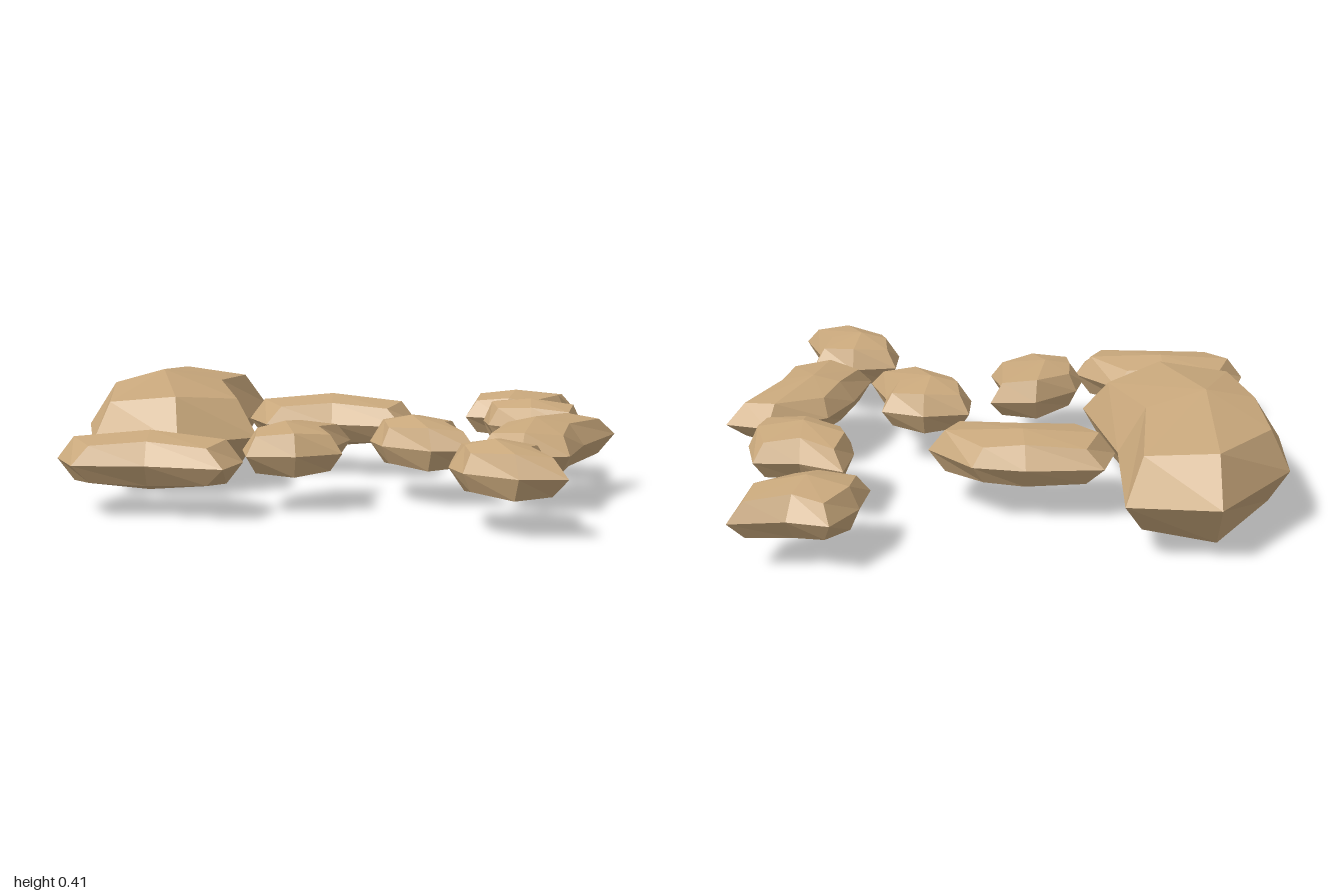
import * as THREE from 'three';

// Plan outlines [x, z], counter-clockwise from above, starting at the hollow
// side: side middles and end middles are even, corners are odd.
const slab = [[-0.38, -0.42], [-0.33, -0.92], [-0.64, -0.98], [-0.94, -0.65], [-0.98, -0.31], [-0.91, 0.16], [-0.6, 0.21], [-0.32, 0.05]];
const long = [[-0.05, -0.25], [0.22, -0.18], [0.28, -0.34], [0.14, -0.53], [-0.04, -0.58], [-0.31, -0.59], [-0.37, -0.43], [-0.3, -0.26]];
const tilted = [[0.85, 0.26], [1, -0.02], [0.85, -0.08], [0.63, 0.02], [0.53, 0.2], [0.46, 0.43], [0.6, 0.53], [0.77, 0.51]];
const stub = [[0.66, 0.78], [0.68, 0.64], [0.53, 0.57], [0.36, 0.58], [0.34, 0.73], [0.38, 0.85], [0.55, 0.97], [0.71, 0.97]];
const middle = [[-0.04, 0.3], [0.02, 0.13], [-0.15, 0.12], [-0.32, 0.24], [-0.36, 0.36], [-0.34, 0.51], [-0.17, 0.52], [-0.01, 0.45]];
const pointed = [[0.77, -0.89], [0.63, -0.94], [0.53, -0.8], [0.49, -0.64], [0.64, -0.58], [0.75, -0.59], [0.91, -0.73], [0.96, -0.89]];
const rear = [[0.73, -0.44], [0.58, -0.53], [0.54, -0.36], [0.55, -0.24], [0.7, -0.11], [0.88, -0.09], [0.91, -0.25], [0.89, -0.42]];

// Faceted stone: a wide middle ring, inset rings above and below, and two peaks
function stoneGeometry(outline, halfHeight) {
  const positions = [];
  const index = [];
  const n = outline.length;
  const mix = THREE.MathUtils.lerp;
  // point part of the way across the stone, from the hollow side to the far side
  const across = (t) => [0, 1].map((k) => mix(outline[0][k], outline[4][k], t));
  const centre = across(0.5);

  for (const level of [1, 0, -1]) {
    outline.forEach((p, i) => {
      const isCorner = i % 2 === 1;
      const isSide = i % 4 === 0;
      const inset = level === 0 ? 0 : isCorner ? 0.22 : isSide ? 0.33 : 0.18;
      const height = level * halfHeight * (isCorner ? 0.64 : 0.77);
      positions.push(mix(p[0], centre[0], inset), height, mix(p[1], centre[1], inset));
    });
  }
  const topPeak = across(0.53);
  const bottomPeak = across(0.38);
  positions.push(topPeak[0], halfHeight, topPeak[1], bottomPeak[0], -halfHeight, bottomPeak[1]);

  for (let i = 0; i < n; i++) {
    const j = (i + 1) % n;
    index.push(3 * n, i, j, 3 * n + 1, 2 * n + j, 2 * n + i);
    for (const upper of [0, n]) {
      const lower = upper + n;
      index.push(upper + i, lower + i, lower + j, upper + i, lower + j, upper + j);
    }
  }
  const geometry = new THREE.BufferGeometry();
  geometry.setAttribute('position', new THREE.Float32BufferAttribute(positions, 3));
  geometry.setIndex(index);
  const faceted = geometry.toNonIndexed();
  faceted.computeVertexNormals();
  return faceted;
}

export function createModel() {
  const group = new THREE.Group();
  group.name = 'scatteredStones';
  const material = new THREE.MeshStandardMaterial({ color: 0xc9a87c, flatShading: true });

  const addStone = (name, outline, { half = 0.1, y = 0.21, x = 0, z = 0 } = {}) => {
    const stone = new THREE.Mesh(stoneGeometry(outline, half), material);
    stone.name = name;
    stone.position.set(x, y, z);
    group.add(stone);
  };

  addStone('largeSlabStone', slab, { half: 0.205, y: 0.207 });
  addStone('backLongStone', long);
  addStone('frontLongStone', long, { x: -0.63, y: 0.19, z: 0.84 });
  addStone('leftLongStone', tilted);
  addStone('frontStubStone', stub);
  addStone('centreStubStone', stub, { x: -0.25, z: -0.57 });
  addStone('middleStone', middle);
  addStone('backPointedStone', pointed, { y: 0.185 });
  addStone('backLeftStone', rear);
  return group;
}
